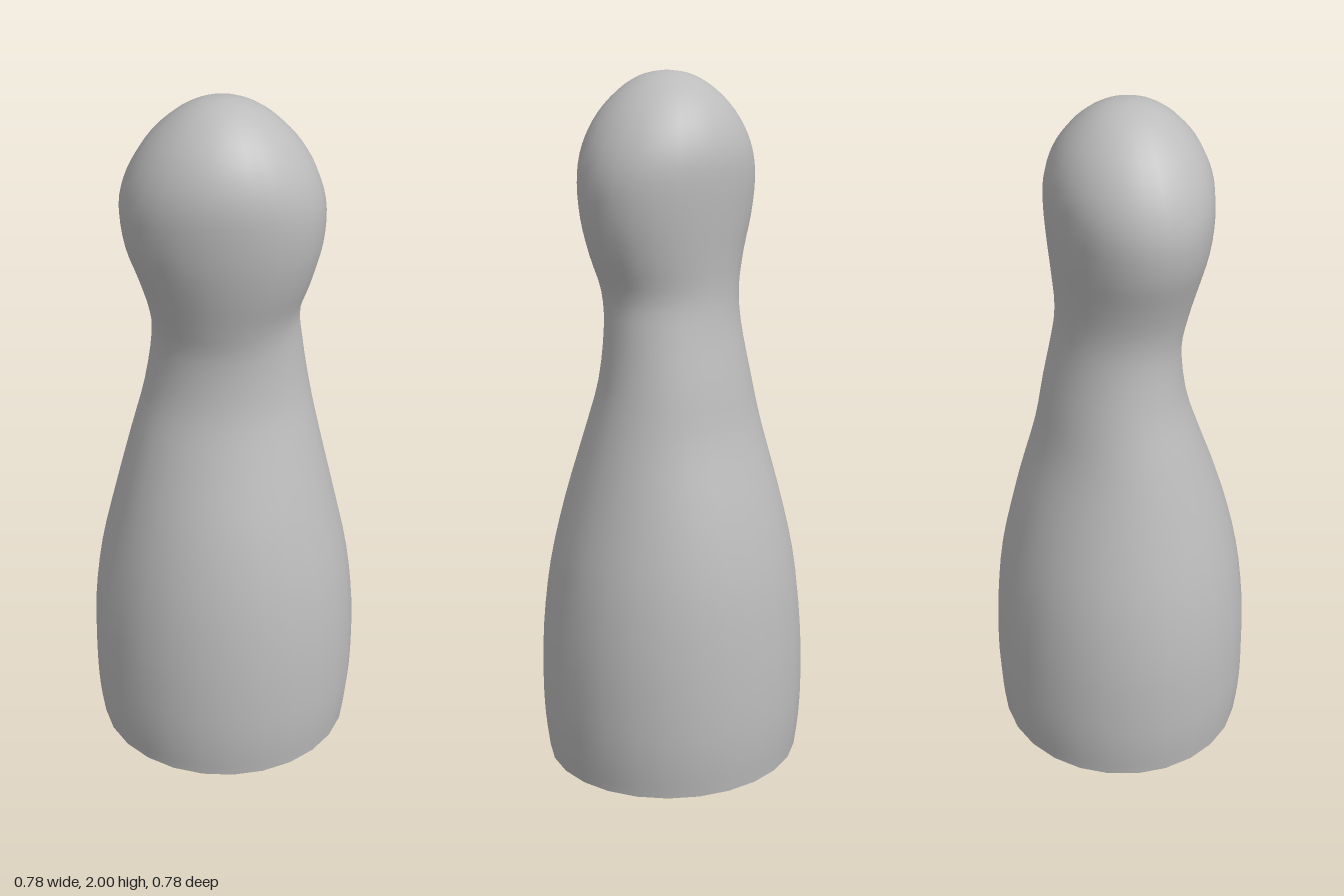
import * as THREE from 'three';

// Body sections: height, long radius, short radius, centre x, centre z
const SECTIONS = [
  [0, 0.38, 0.365, 0, 0],
  [0.1, 0.392, 0.376, 0, 0],
  [0.22, 0.397, 0.38, 0, 0],
  [0.4, 0.393, 0.373, 0, 0],
  [0.6, 0.368, 0.35, 0.002, 0],
  [0.8, 0.322, 0.303, 0.004, 0],
  [1.0, 0.272, 0.238, 0.009, -0.002],
  [1.15, 0.235, 0.2, 0.018, -0.006],
  [1.3, 0.211, 0.178, 0.012, 0],
  [1.4, 0.209, 0.181, -0.002, 0.006],
  [1.5, 0.238, 0.196, -0.008, 0.015],
  [1.6, 0.267, 0.211, -0.015, 0.016],
  [1.7, 0.276, 0.22, -0.018, 0.015],
  [1.78, 0.26, 0.219, -0.018, 0.015],
  [1.85, 0.226, 0.2, -0.018, 0.015],
  [1.91, 0.18, 0.165, -0.018, 0.015],
  [1.96, 0.122, 0.115, -0.018, 0.015],
  [1.99, 0.062, 0.06, -0.018, 0.015],
  [2.0, 0, 0, -0.018, 0.015],
];
const SIDES = 26;
const RINGS = 54;

// Smooth skin of oval rings, long axis on the x = z diagonal, open at the foot
function skin() {
  const size = new THREE.CatmullRomCurve3(SECTIONS.map(([y, a, b]) => new THREE.Vector3(a, y, b)), false, 'catmullrom');
  const centre = new THREE.CatmullRomCurve3(SECTIONS.map(([y, , , x, z]) => new THREE.Vector3(x, y, z)), false, 'catmullrom');
  const position = [];
  const index = [];
  for (let i = 0; i < RINGS; i++) {
    const s = size.getPoint(i / RINGS);
    const c = centre.getPoint(i / RINGS);
    for (let j = 0; j < SIDES; j++) {
      const t = (j / SIDES) * Math.PI * 2;
      const v = s.x * Math.cos(t) * Math.SQRT1_2;
      const u = s.z * Math.sin(t) * Math.SQRT1_2;
      position.push(c.x + v + u, s.y, c.z + v - u);
      const a = i * SIDES + j;
      const b = i * SIDES + ((j + 1) % SIDES);
      if (i < RINGS - 1) index.push(a, b, b + SIDES, a, b + SIDES, a + SIDES);
      else index.push(a, b, RINGS * SIDES);
    }
  }
  // crown point
  const top = centre.getPoint(1);
  position.push(top.x, top.y, top.z);
  const geometry = new THREE.BufferGeometry();
  geometry.setAttribute('position', new THREE.Float32BufferAttribute(position, 3));
  geometry.setIndex(index);
  geometry.computeVertexNormals();
  return geometry;
}

export function createModel() {
  const group = new THREE.Group();
  group.name = 'pin';
  const grey = new THREE.MeshStandardMaterial({ color: 0xbcbcbc, side: THREE.DoubleSide });
  grey.name = 'grey';
  const body = new THREE.Mesh(skin(), grey);
  body.name = 'pinBody';
  group.add(body);
  return group;
}
